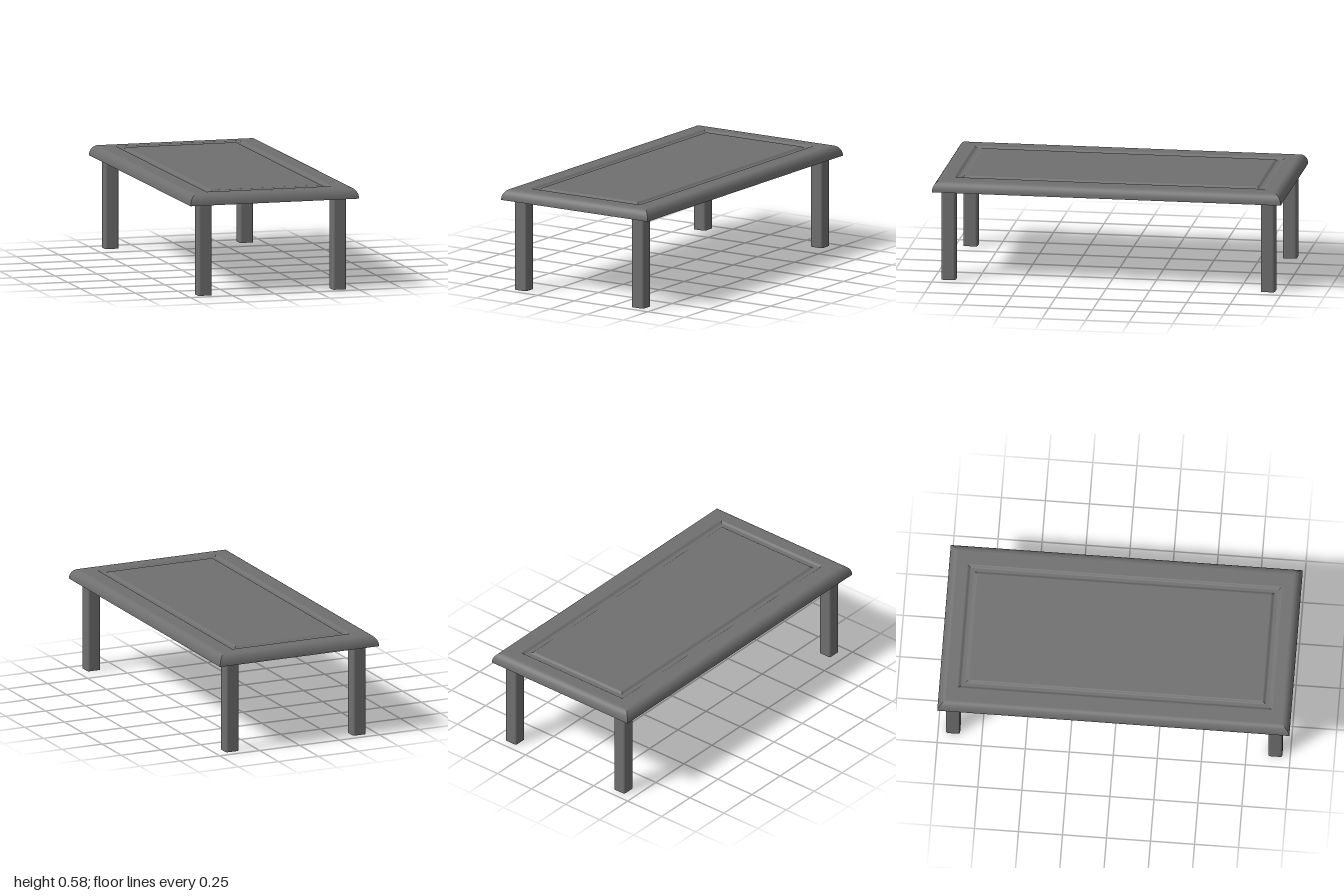
import * as THREE from 'three';

const material = new THREE.MeshStandardMaterial({ color: 0x6f6f6f });
const BOTTOM = 0.523, TOP = 0.585, HALF_WIDTH = 0.498;

// Mitred rectangular moulding: each ring is [half width, half length, height],
// listed so that the outward side faces out; corners stay sharp.
function moulding(rings) {
  const corners = [[1, 1], [1, -1], [-1, -1], [-1, 1]];
  const positions = [], index = [];
  for (let side = 0; side < 4; side++) {
    const ends = [corners[side], corners[(side + 1) % 4]];
    const base = positions.length / 3;
    rings.forEach(([hx, hz, y], i) => {
      for (const [sx, sz] of ends) positions.push(sx * hx, y, sz * hz);
      if (i === 0) return;
      const a = base + (i - 1) * 2;
      index.push(a, a + 1, a + 3, a, a + 3, a + 2);
    });
  }
  const geometry = new THREE.BufferGeometry();
  geometry.setAttribute('position', new THREE.Float32BufferAttribute(positions, 3));
  geometry.setIndex(index);
  geometry.computeVertexNormals();
  return geometry;
}

// Samples a ring function for t from 0 to 1
const sample = (steps, ring) => Array.from({ length: steps + 1 }, (_, i) => ring(i / steps));

// Square post with softly rounded vertical edges
function legGeometry(width, height, radius) {
  const h = width / 2, c = h - radius;
  const shape = new THREE.Shape();
  [[c, c], [-c, c], [-c, -c], [c, -c]].forEach(([x, y], i) =>
    shape.absarc(x, y, radius, i * Math.PI / 2, (i + 1) * Math.PI / 2, false));
  shape.closePath();
  const geometry = new THREE.ExtrudeGeometry(shape, { depth: height, bevelEnabled: false, curveSegments: 5 });
  return geometry.rotateX(-Math.PI / 2);
}

export function createModel() {
  const model = new THREE.Group();
  model.name = 'table';
  const add = (parent, name, geometry) => {
    const mesh = new THREE.Mesh(geometry, material);
    mesh.name = name;
    parent.add(mesh);
    return mesh;
  };

  // Table top, from the rounded border inwards
  const top = new THREE.Group();
  top.name = 'tableTop';
  model.add(top);
  const edge = 0.046;
  add(top, 'roundedEdge', moulding(sample(14, t => {
    const a = t * Math.PI / 2, inset = edge * (1 - Math.cos(a));
    return [HALF_WIDTH - inset, 1 - inset, BOTTOM + (TOP - BOTTOM) * Math.sin(a)];
  })));
  add(top, 'rim', moulding([[HALF_WIDTH - edge, 1 - edge, TOP], [0.374, 0.894, TOP]]));

  // Soft-lipped groove around the centre panel
  add(top, 'groove', moulding(sample(28, t => {
    const { smoothstep } = THREE.MathUtils;
    const dip = smoothstep(t, 0, 0.35) * (1 - smoothstep(t, 0.65, 1));
    return [0.374 - 0.054 * t, 0.894 - 0.06 * t, TOP - 0.01 * dip];
  })));
  add(top, 'centrePanel', moulding([[0.32, 0.834, TOP], [0, 0, TOP]]));
  add(top, 'underside', moulding([[0, 0, BOTTOM], [HALF_WIDTH, 1, BOTTOM]]));

  // Four legs
  const leg = legGeometry(0.08, BOTTOM, 0.012);
  for (const [xName, x] of [['Left', 1], ['Right', -1]])
    for (const [zName, z] of [['front', 1], ['back', -1]])
      add(model, `${zName}${xName}Leg`, leg).position.set(x * 0.398, 0, z * 0.915);

  return model;
}
